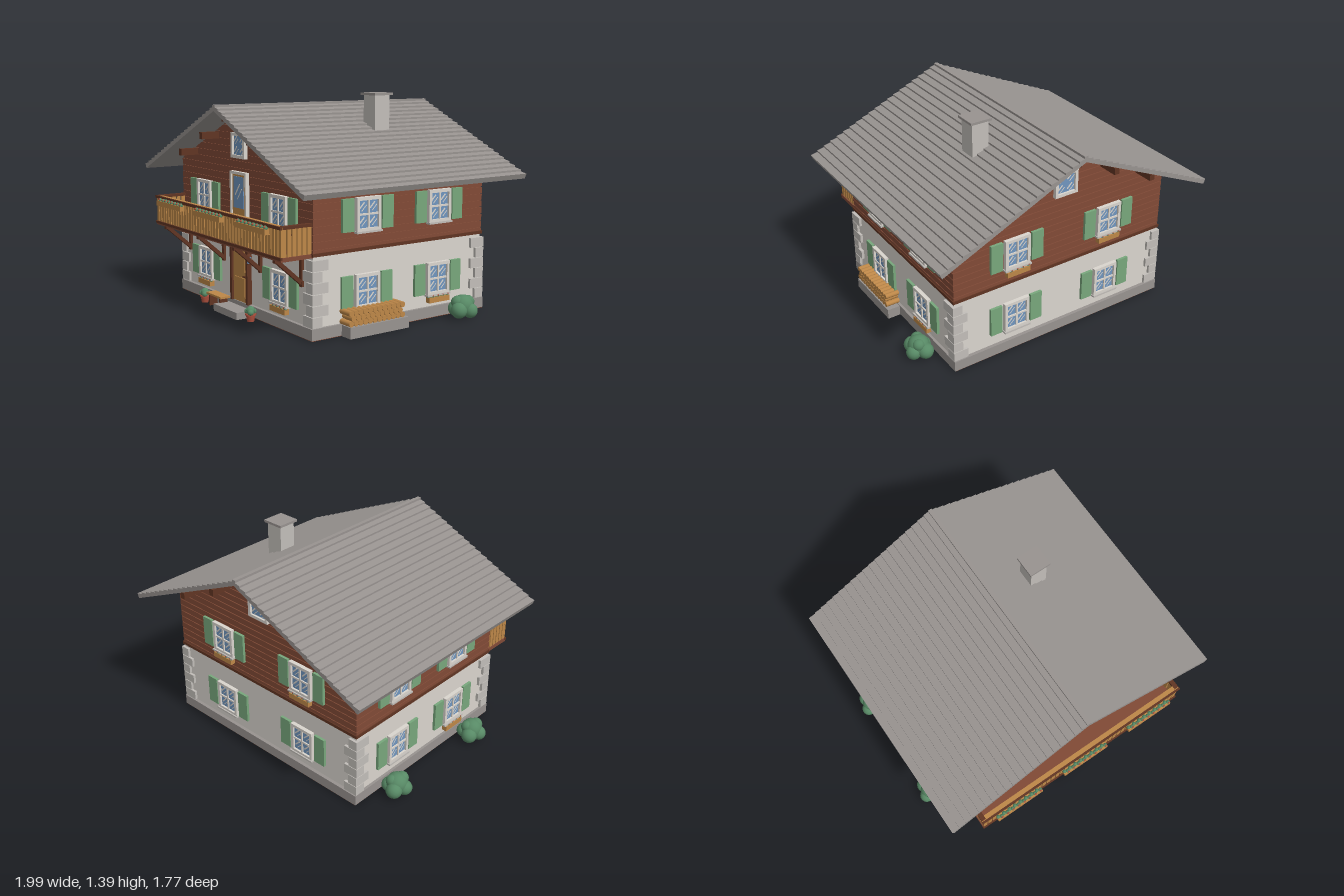
import * as THREE from 'three';

const mat = (name, color) => {
  const m = new THREE.MeshStandardMaterial({ color });
  m.name = name;
  return m;
};
const M = {
  stone: mat('grey stone and shingle', 0x989390),
  plaster: mat('off-white plaster', 0xdad5ce),
  quoin: mat('pale stone', 0xc2beb9),
  wood: mat('brown timber', 0x814a36),
  dark: mat('dark timber', 0x613523),
  honey: mat('honey wood', 0xbd8748),
  shutter: mat('shutter green', 0x78a77c),
  leaf: mat('leaf green', 0x588a66),
  glass: mat('blue glass', 0x7096bf),
  clay: mat('terracotta', 0xb3523f),
};
const FRONT = 0.635, BACK = -0.685, SIDE = 0.79, MID = (FRONT + BACK) / 2, DEPTH = FRONT - BACK;

function add(parent, name, geo, m, x = 0, y = 0, z = 0) {
  const mesh = new THREE.Mesh(geo, m);
  mesh.name = name;
  mesh.position.set(x, y, z);
  parent.add(mesh);
  return mesh;
}
const box = (p, name, m, w, h, d, x, y, z) => add(p, name, new THREE.BoxGeometry(w, h, d), m, x, y, z);
function group(parent, name, x = 0, y = 0, z = 0, ry = 0) {
  const g = new THREE.Group();
  g.name = name;
  g.position.set(x, y, z);
  g.rotation.y = ry;
  parent.add(g);
  return g;
}
// Extrude an xy outline from zBack to zFront
function prism(p, name, m, pts, zBack, zFront) {
  const shape = new THREE.Shape(pts.map(([x, y]) => new THREE.Vector2(x, y)));
  return add(p, name, new THREE.ExtrudeGeometry(shape, { depth: zFront - zBack, bevelEnabled: false }), m, 0, 0, zBack);
}

// Trough with a row of leaves and blossoms; its back is at local z = 0
function flowerBox(p, w, x, y, z, ry = 0) {
  const g = group(p, 'flowerBox', x, y, z, ry);
  box(g, 'trough', M.honey, w, 0.034, 0.034, 0, 0, 0.019);
  const n = Math.round(w / 0.021);
  for (let i = 0; i < n; i++) {
    const bx = (i + 0.5) / n * w - w / 2;
    add(g, 'leaves', new THREE.IcosahedronGeometry(0.013, 1), M.leaf, bx, 0.02, 0.014 + (i % 2) * 0.008);
    if (i % 2) add(g, 'blossom', new THREE.IcosahedronGeometry(0.007, 1), M.clay, bx, 0.027, 0.03);
  }
}

// Frame, glass, glints and optional cross bars, facing local +z
function glazing(p, w, h, y, cross) {
  const f = 0.02;
  for (const s of [-1, 1]) {
    box(p, 'frameSide', M.plaster, f, h, 0.026, s * (w - f) / 2, y, 0.013);
    box(p, 'frameRail', M.plaster, w - 2 * f, f, 0.026, 0, y + s * (h - f) / 2, 0.013);
  }
  box(p, 'glass', M.glass, w - 2 * f, h - 2 * f, 0.008, 0, y, 0.008);
  if (cross) {
    box(p, 'mullion', M.plaster, 0.012, h - 2 * f, 0.008, 0, y, 0.018);
    box(p, 'transom', M.plaster, w - 2 * f, 0.012, 0.008, 0, y, 0.018);
  }
  for (const sx of [-1, 1]) for (const sy of [-1, 1])
    [[-0.007, 0.009], [0.009, 0.005]].forEach(([o, t]) => {
      const glint = box(p, 'glint', M.plaster, 0.05, t, 0.002, sx * (w / 4 - 0.006) + o, y + sy * (h / 4 - 0.007) - o, 0.0125);
      glint.rotation.z = Math.PI / 4;
    });
}
function shutteredWindow(p, x, y, z, ry, flowers) {
  const g = group(p, 'window', x, y, z, ry);
  glazing(g, 0.18, 0.205, 0, true);
  box(g, 'sill', M.quoin, 0.19, 0.012, 0.035, 0, -0.104, 0.017);
  for (const s of [-1, 1]) box(g, 'shutter', M.shutter, 0.084, 0.196, 0.018, s * 0.147, 0.002, 0.01);
  if (flowers) flowerBox(g, 0.165, 0, -0.133, 0);
}

function bush(p, x, z) {
  const g = group(p, 'bush', x, 0, z);
  [[0, 0.075, 0, 0.07], [0.02, 0.055, 0.05, 0.052], [-0.02, 0.055, -0.052, 0.052], [0.046, 0.05, -0.02, 0.048],
    [-0.045, 0.05, 0.02, 0.048], [0.015, 0.1, -0.03, 0.04], [-0.01, 0.098, 0.035, 0.042]].forEach(([bx, by, bz, r]) =>
    add(g, 'foliage', new THREE.IcosahedronGeometry(r, 2), M.leaf, bx, by, bz));
}
function pottedPlant(p, x, z) {
  const g = group(p, 'pottedPlant', x, 0, z);
  add(g, 'pot', new THREE.CylinderGeometry(0.031, 0.022, 0.045, 16), M.clay, 0, 0.0225, 0);
  add(g, 'potRim', new THREE.CylinderGeometry(0.035, 0.035, 0.01, 16), M.clay, 0, 0.045, 0);
  [[0, 0.068, 0, 0.028], [0.02, 0.06, 0.012, 0.02], [-0.02, 0.062, 0.01, 0.02], [0, 0.06, -0.02, 0.02]].forEach(([a, b, c, r]) =>
    add(g, 'foliage', new THREE.IcosahedronGeometry(r, 2), M.leaf, a, b, c));
}

export function createModel() {
  const root = new THREE.Group();
  root.name = 'chalet';

  // Ground floor
  const lower = group(root, 'groundFloor');
  box(lower, 'underside', M.wood, 1.6, 0.004, DEPTH + 0.03, 0, 0.002, MID);
  box(lower, 'foundation', M.stone, 1.605, 0.068, DEPTH + 0.035, 0, 0.038, MID);
  box(lower, 'plasterWalls', M.plaster, 1.57, 0.43, DEPTH - 0.01, 0, 0.28, MID);
  for (const sx of [-1, 1]) for (const [z, sz] of [[FRONT, 1], [BACK, -1]])
    for (let i = 0; i < 6; i++) {
      const w = i % 2 ? 0.065 : 0.1, d = i % 2 ? 0.11 : 0.07;
      box(lower, 'cornerStone', M.quoin, w, 0.062, d, sx * (0.803 - w / 2), 0.106 + i * 0.0665, z + sz * (0.012 - d / 2));
    }

  // Timber upper floor and gables, one board per row
  const upper = group(root, 'timberFloor');
  const half = (y) => Math.min(SIDE, Math.max(0.005, (1.287 - y) / 0.451));
  const row = 0.044;
  prism(upper, 'timberCore', M.wood, [[-0.782, 0.49], [0.782, 0.49], [0.782, 0.925], [0, 1.28], [-0.782, 0.925]], BACK + 0.008, FRONT - 0.008);
  for (let i = 0; i < 18; i++) {
    const a = 0.49 + i * row, b = a + row - 0.005;
    prism(upper, 'board', M.wood, [[-half(a), a], [half(a), a], [half(b), b], [-half(b), b]], BACK, FRONT);
  }
  box(upper, 'sillBeam', M.dark, 1.592, 0.02, DEPTH + 0.012, 0, 0.5, MID);
  for (const [x, y] of [[-0.58, 0.99], [-0.29, 1.118], [0, 1.247], [0.29, 1.118], [0.58, 0.99]])
    box(upper, 'purlin', M.dark, 0.036, 0.044, 1.58, x, y, -0.03);

  // Roof with stepped shingle rows
  const roof = group(root, 'roof');
  const N = 20, line = (x) => 1.29 - 0.451 * x, edge = [];
  for (let i = 0; i < N; i++) {
    const a = i / N * 0.985, b = (i + 1) / N * 0.985;
    edge.push([a, line(a) + 0.026], [b, line(b) + 0.038]);
  }
  edge.push([0.972, line(0.972)], [0, line(0)]);
  for (const s of [-1, 1]) {
    const pts = edge.map(([x, y]) => [s * x, y]);
    prism(roof, 'roofSlope', M.stone, pts, -0.882, 0.825);
  }
  box(roof, 'ridgeCap', M.stone, 0.026, 0.024, 1.707, 0, 1.316, -0.0285);

  // Chimney
  const chimney = group(root, 'chimney', 0.318, 0, -0.193);
  box(chimney, 'chimneyStack', M.quoin, 0.116, 0.28, 0.118, 0, 1.24, 0);
  box(chimney, 'chimneyCap', M.stone, 0.148, 0.016, 0.148, 0, 1.384, 0);

  // Windows on all four walls
  for (const s of [-1, 1]) {
    for (const y of [0.25, 0.708]) {
      shutteredWindow(root, s * 0.453, y, FRONT - (y < 0.5 ? 0.005 : 0), 0, y < 0.5);
      shutteredWindow(root, s * 0.348, y, BACK + (y < 0.5 ? 0.005 : 0), Math.PI, y > 0.5);
      for (const z of [0.25, -0.308])
        shutteredWindow(root, s * (y < 0.5 ? 0.785 : SIDE), y, z, s * Math.PI / 2, y < 0.5 && s * z < 0);
    }
  }
  for (const [z, ry] of [[FRONT, 0], [BACK, Math.PI]])
    glazing(group(root, 'atticWindow', 0, 1.07, z, ry), 0.165, 0.16, 0, false);

  // Entrance door and step
  const door = group(root, 'frontDoor', 0, 0, FRONT - 0.005);
  for (const s of [-1, 1]) box(door, 'doorPost', M.dark, 0.022, 0.38, 0.035, s * 0.097, 0.26, 0.015);
  box(door, 'doorLintel', M.dark, 0.216, 0.022, 0.035, 0, 0.438, 0.015);
  box(door, 'doorLeaf', M.honey, 0.172, 0.355, 0.016, 0, 0.25, 0.01);
  for (const y of [0.165, 0.335]) box(door, 'doorPanel', M.honey, 0.12, 0.13, 0.008, 0, y, 0.02);
  box(door, 'doorHandle', M.dark, 0.03, 0.009, 0.015, 0.068, 0.245, 0.026);
  box(root, 'doorStep', M.stone, 0.29, 0.045, 0.13, 0, 0.0225, 0.7);

  // Balcony door
  const bDoor = group(root, 'balconyDoor', 0, 0, FRONT);
  for (const s of [-1, 1]) box(bDoor, 'balconyDoorPost', M.plaster, 0.017, 0.4, 0.026, s * 0.09, 0.705, 0.013);
  box(bDoor, 'balconyDoorLintel', M.plaster, 0.197, 0.017, 0.026, 0, 0.897, 0.013);
  box(bDoor, 'balconyDoorLeaf', M.honey, 0.163, 0.385, 0.016, 0, 0.697, 0.008);
  box(bDoor, 'balconyDoorGlass', M.glass, 0.12, 0.2, 0.004, -0.002, 0.775, 0.018);
  for (const o of [-0.012, 0.014]) {
    const glint = box(bDoor, 'glint', M.plaster, 0.09, o < 0 ? 0.01 : 0.006, 0.002, o, 0.78 - o, 0.0205);
    glint.rotation.z = 0.9;
  }

  // Balcony deck, slatted railing and brackets
  const balcony = group(root, 'balcony');
  box(balcony, 'deck', M.wood, 1.565, 0.024, 0.215, 0, 0.496, 0.738);
  box(balcony, 'handrail', M.honey, 1.565, 0.016, 0.03, 0, 0.675, 0.825);
  box(balcony, 'outerRail', M.dark, 1.57, 0.018, 0.012, 0, 0.676, 0.846);
  box(balcony, 'lowerRail', M.dark, 1.57, 0.016, 0.014, 0, 0.502, 0.844);
  box(balcony, 'backRail', M.honey, 1.55, 0.03, 0.01, 0, 0.64, 0.824);
  for (let i = 0; i < 44; i++) box(balcony, 'slat', M.honey, 0.027, 0.168, 0.012, (i - 21.5) * 0.0355, 0.59, 0.836);
  for (const s of [-1, 1]) {
    box(balcony, 'sideRail', M.dark, 0.03, 0.018, 0.2, s * 0.768, 0.676, 0.735);
    for (let i = 0; i < 6; i++) box(balcony, 'sideSlat', M.honey, 0.012, 0.168, 0.026, s * 0.77, 0.59, 0.65 + i * 0.034);
  }
  for (const x of [-0.685, -0.225, 0.225, 0.68]) {
    box(balcony, 'bracketBeam', M.dark, 0.026, 0.026, 0.2, x, 0.474, 0.73);
    box(balcony, 'bracketPost', M.dark, 0.026, 0.18, 0.02, x, 0.39, 0.637);
    box(balcony, 'bracketStrut', M.dark, 0.025, 0.024, 0.235, x, 0.392, 0.722).rotation.x = -0.72;
  }
  for (const x of [-0.52, -0.005, 0.51]) flowerBox(balcony, 0.34, x, 0.645, 0.852);

  // Wall lantern
  const lamp = group(root, 'lantern', 0.145, 0.37, 0.672);
  box(lamp, 'lanternArm', M.dark, 0.01, 0.01, 0.05, 0, 0.042, -0.018);
  add(lamp, 'lanternGlass', new THREE.CylinderGeometry(0.017, 0.013, 0.045, 6), M.glass);
  add(lamp, 'lanternRoof', new THREE.ConeGeometry(0.022, 0.022, 6), M.dark, 0, 0.033, 0);
  add(lamp, 'lanternBase', new THREE.CylinderGeometry(0.015, 0.015, 0.008, 6), M.dark, 0, -0.026, 0);

  // Bench beside the door
  const bench = group(root, 'bench', -0.21, 0, 0.695);
  box(bench, 'benchSeat', M.honey, 0.19, 0.013, 0.07, 0, 0.08, 0);
  for (const s of [-1, 1]) box(bench, 'benchLeg', M.dark, 0.014, 0.074, 0.055, s * 0.068, 0.037, 0);

  // Firewood on its stone plinth
  const pile = group(root, 'firewood');
  box(pile, 'plinth', M.stone, 0.095, 0.068, 0.44, 0.842, 0.034, 0.22);
  for (let r = 0; r < 3; r++) for (let i = 0; i < 12 - (r % 2); i++)
    add(pile, 'log', new THREE.CylinderGeometry(0.0175, 0.0175, 0.095, 10), M.honey,
      0.835, 0.086 + r * 0.031, 0.043 + (i + (r % 2) / 2) * 0.035).rotation.z = Math.PI / 2;

  // Planting
  bush(root, 0.902, -0.43);
  bush(root, -0.902, 0.34);
  bush(root, -0.902, -0.43);
  pottedPlant(root, -0.37, 0.705);
  pottedPlant(root, 0.215, 0.705);
  return root;
}
